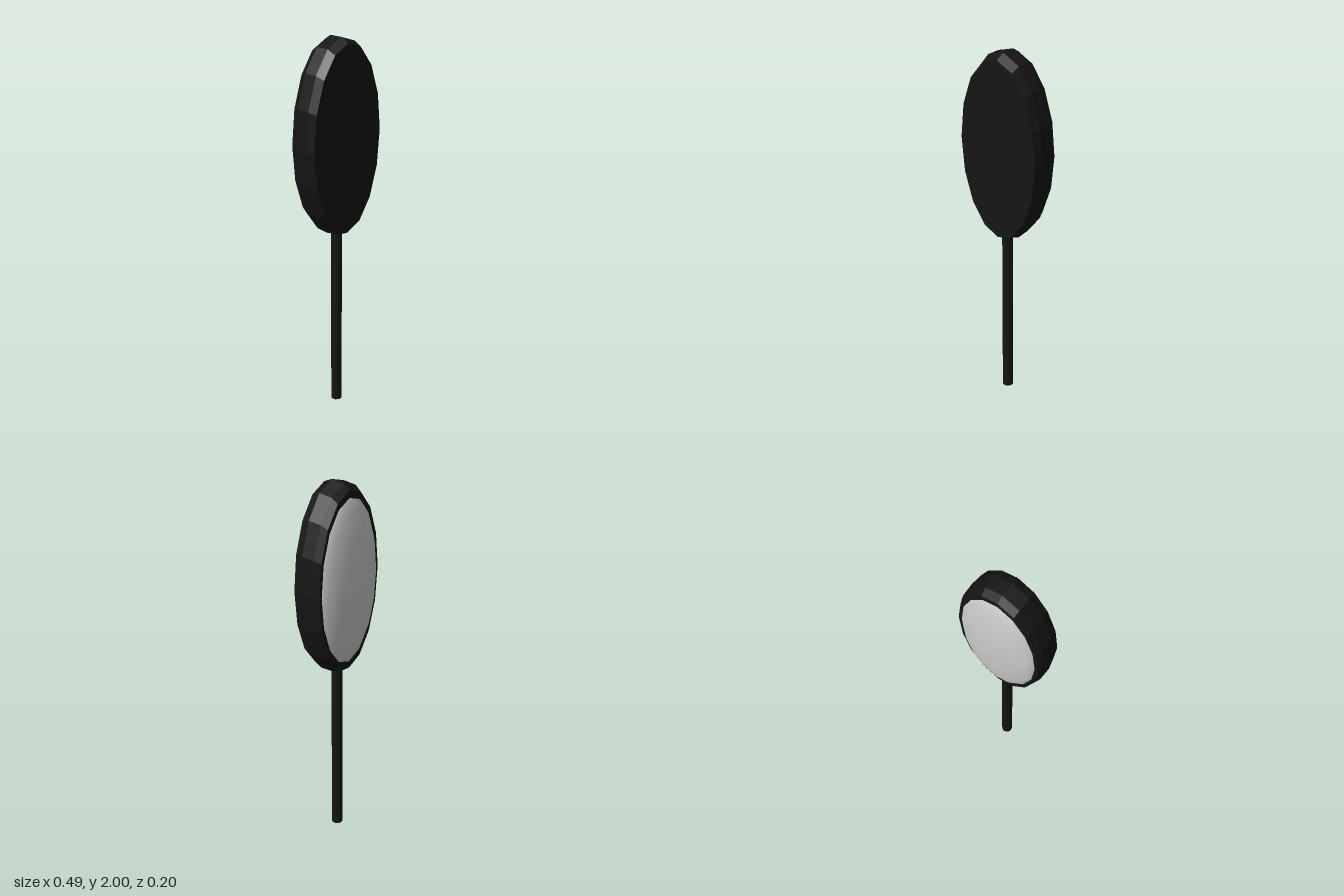
import * as THREE from 'three';

const SIDES = 16;
const CENTRE_Y = 1.485;
const STRETCH = 2.085; // height of the oval relative to its width

// Oval part turned around the z axis; profile is [half width, z] from back to front
function ovalPart(name, profile, material) {
  const points = profile.map(([r, z]) => new THREE.Vector2(r, z));
  const geometry = new THREE.LatheGeometry(points, SIDES);
  geometry.rotateX(Math.PI / 2);
  geometry.scale(1, STRETCH, 1);
  const mesh = new THREE.Mesh(geometry, material);
  mesh.name = name;
  mesh.position.y = CENTRE_Y;
  return mesh;
}

export function createModel() {
  const group = new THREE.Group();
  group.name = 'ovalMirror';
  const black = new THREE.MeshStandardMaterial({ color: 0x151515, flatShading: true });
  const grey = new THREE.MeshStandardMaterial({ color: 0xcccccc });

  // Shell with bevelled rim and flat face
  group.add(ovalPart('mirrorHousing', [
    [0, -0.05], [0.232, -0.05], [0.245, -0.015], [0.247, 0.055], [0.236, 0.1], [0, 0.1],
  ], black));

  // Domed glass at the back
  group.add(ovalPart('mirrorGlass', [
    [0, -0.105], [0.03, -0.104], [0.117, -0.095], [0.19, -0.072], [0.214, -0.05],
  ], grey));

  // Straight rod from the ground into the housing
  const stem = new THREE.Mesh(new THREE.CylinderGeometry(0.028, 0.028, 1, 12), black);
  stem.name = 'stem';
  stem.position.set(0, 0.5, 0.027);
  group.add(stem);

  return group;
}
